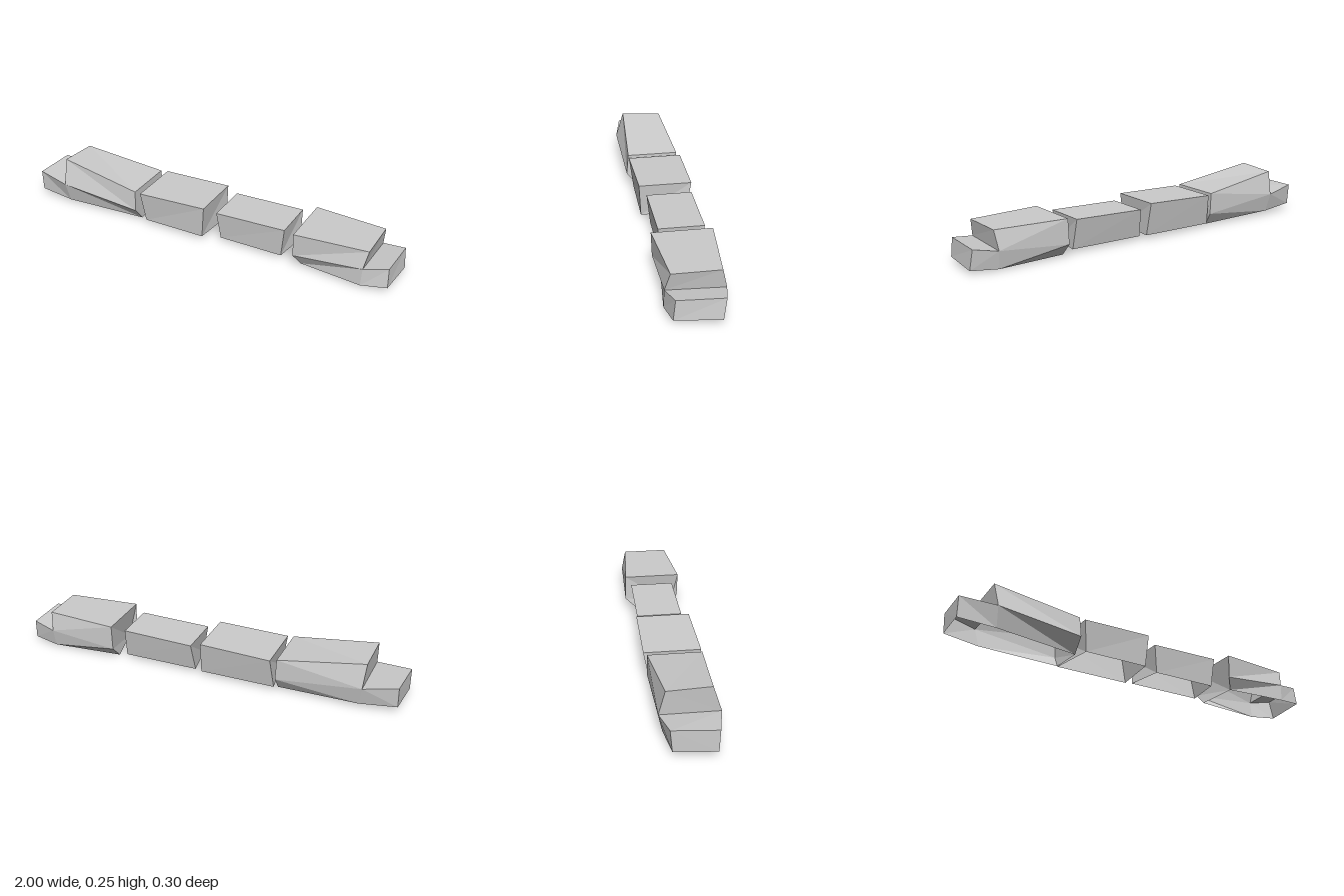
import * as THREE from 'three';

// Open-bottomed faceted shells: each ring runs from the front (+z) bottom edge,
// over the roof, to the back (-z) bottom edge.
const material = new THREE.MeshStandardMaterial({
  color: 0xcccccc, flatShading: true, side: THREE.DoubleSide,
});

// Triangle fan over a convex outline
function face(out, pts, flip = false) {
  for (let i = 1; i < pts.length - 1; i++) {
    out.push(...pts[0], ...(flip ? pts[i + 1] : pts[i]), ...(flip ? pts[i] : pts[i + 1]));
  }
}

// Wall panels joining two rings, the first at smaller x
function strip(out, a, b, flip = false) {
  for (let i = 0; i < a.length - 1; i++) face(out, [a[i], b[i], b[i + 1], a[i + 1]], flip);
}

function makeMesh(name, positions) {
  const g = new THREE.BufferGeometry();
  g.setAttribute('position', new THREE.Float32BufferAttribute(positions, 3));
  g.computeVertexNormals();
  const mesh = new THREE.Mesh(g, material);
  mesh.name = name;
  return mesh;
}

// Box-like middle car with two slightly skewed end walls
function middleCar(name, low, high) {
  const out = [];
  strip(out, low, high);
  face(out, low);
  face(out, high, true);
  return makeMesh(name, out);
}

// End car: tall cabin with a side ridge, sloped window wall and a low nose
function endCar(name, rear, shoulder, tip, flip) {
  const group = new THREE.Group();
  group.name = name;
  const cabin = [], nose = [];
  strip(cabin, rear, shoulder, flip);
  face(cabin, rear, flip);
  face(cabin, shoulder.slice(1, 5), !flip);
  const base = [shoulder[0], shoulder[1], shoulder[4], shoulder[5]];
  strip(nose, base, tip, flip);
  face(nose, tip, !flip);
  group.add(makeMesh('cabin', cabin), makeMesh('nose', nose));
  return group;
}

export function createModel() {
  const model = new THREE.Group();
  model.name = 'carRow';

  // End car on the -x side, roof rising toward its nose
  model.add(endCar('rightEndCar',
    [[-0.38, 0.007, 0.085], [-0.38, 0.08, 0.145], [-0.385, 0.185, 0.135],
      [-0.385, 0.185, -0.13], [-0.38, 0.075, -0.13], [-0.385, 0.012, -0.09]],
    [[-0.81, 0.02, 0.125], [-0.82, 0.123, 0.152], [-0.83, 0.254, 0.11],
      [-0.825, 0.242, -0.1], [-0.815, 0.12, -0.13], [-0.8, 0.025, -0.11]],
    [[-1, 0.032, 0.11], [-1, 0.14, 0.115], [-0.985, 0.145, -0.1], [-0.985, 0.037, -0.09]],
    true));

  // Two plain middle cars
  model.add(middleCar('rightMiddleCar',
    [[-0.335, 0.022, 0.115], [-0.355, 0.182, 0.135], [-0.355, 0.182, -0.145], [-0.37, 0.022, -0.115]],
    [[0, 0.022, 0.12], [0.015, 0.193, 0.13], [0.015, 0.193, -0.14], [0.022, 0.022, -0.11]]));
  model.add(middleCar('leftMiddleCar',
    [[0.09, 0.022, 0.085], [0.072, 0.168, 0.1], [0.072, 0.168, -0.13], [0.058, 0.022, -0.1]],
    [[0.427, 0.022, 0.09], [0.445, 0.177, 0.1], [0.445, 0.177, -0.125], [0.452, 0.022, -0.095]]));

  // End car on the +x side, with a level roof
  model.add(endCar('leftEndCar',
    [[0.54, 0.02, 0.105], [0.51, 0.075, 0.138], [0.51, 0.197, 0.143],
      [0.51, 0.197, -0.15], [0.505, 0.07, -0.152], [0.503, 0.003, -0.085]],
    [[0.86, 0.018, 0.14], [0.865, 0.108, 0.137], [0.883, 0.197, 0.113],
      [0.883, 0.197, -0.118], [0.87, 0.1, -0.14], [0.865, 0.01, -0.125]],
    [[0.987, 0.03, 0.118], [0.983, 0.127, 0.107], [0.99, 0.122, -0.115], [1, 0.02, -0.1]],
    false));

  return model;
}
